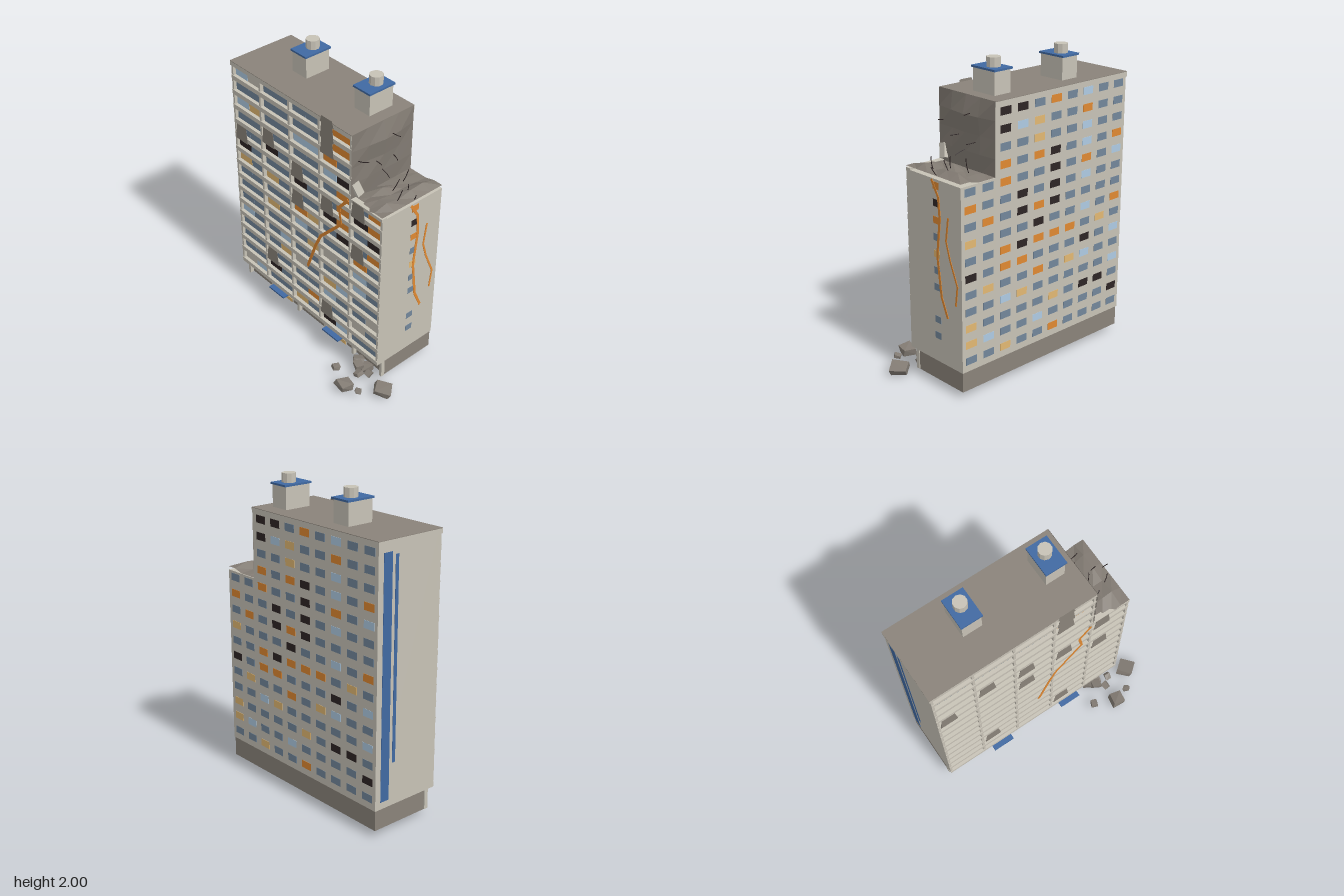
import * as THREE from 'three';
import { ConvexGeometry } from 'three/addons/geometries/ConvexGeometry.js';

const mat = (name, color, extra = {}) => new THREE.MeshStandardMaterial({ name, color, ...extra });

export function createModel() {
  const M = {
    g: mat('concrete', 0xc7c2b6),
    d: mat('grey concrete', 0x8a837a),
    b: mat('broken concrete', 0x827b73, { side: THREE.DoubleSide }),
    u: mat('blue trim', 0x4069a2),
    s: mat('slate glass', 0x73879b),
    l: mat('light glass', 0xaecbe3),
    t: mat('lit tan', 0xe2b873),
    o: mat('fire orange', 0xe08932),
    k: mat('charred black', 0x2e2525),
  };
  const root = new THREE.Group();
  let seed = 11;
  const rnd = () => (seed = (seed * 16807) % 2147483647) / 2147483647;

  const add = (name, geo, m, parent = root) => {
    const mesh = new THREE.Mesh(geo, M[m]);
    mesh.name = name;
    parent.add(mesh);
    return mesh;
  };
  // Box given by its extents on each axis
  const box = (name, m, x0, x1, y0, y1, z0, z1, parent) => {
    const mesh = add(name, new THREE.BoxGeometry(x1 - x0, y1 - y0, z1 - z0), m, parent);
    mesh.position.set((x0 + x1) / 2, (y0 + y1) / 2, (z0 + z1) / 2);
    return mesh;
  };
  const group = (name) => {
    const g = new THREE.Group();
    g.name = name;
    root.add(g);
    return g;
  };
  const flat = (geo) => {
    const g = geo.toNonIndexed();
    g.computeVertexNormals();
    return g;
  };

  const L = -0.763, R = 0.615, CUT = 0.35, BACK = -0.36, FRONT = 0.127, GLASS = 0.1;
  const BAY = (R - L) / 5, PITCH = 0.10586;
  const rowY = (r) => 1.725 - r * PITCH;
  const windowX = (c) => L + BAY * (Math.floor(c / 2) + (c % 2 ? 0.715 : 0.278));

  // Main body: tall part and the lower part left after the collapse
  box('tallBlock', 'g', L, CUT, 0.175, 1.76, BACK, GLASS - 0.002);
  box('lowBlock', 'g', CUT, R, 0.175, 1.34, BACK, GLASS - 0.002);
  box('roofSlab', 'g', L - 0.006, CUT, 1.757, 1.787, BACK - 0.005, FRONT);
  box('roofSurface', 'd', L - 0.006, CUT, 1.787, 1.79, BACK - 0.005, FRONT);

  // Hollow ground floor, open below, with pillars under the overhang
  const base = group('groundFloor');
  box('baseFront', 'd', L + 0.005, R - 0.005, 0.045, 0.175, 0.04, 0.05, base);
  box('baseBack', 'd', L + 0.005, R - 0.005, 0.045, 0.175, -0.355, -0.345, base);
  box('baseLeft', 'd', R - 0.015, R - 0.005, 0.045, 0.175, -0.345, 0.04, base);
  box('baseRight', 'd', L + 0.005, L + 0.015, 0.045, 0.175, -0.345, 0.04, base);
  for (let i = 0; i <= 5; i++) {
    const x = Math.min(Math.max(L + i * BAY, L + 0.012), R - 0.012);
    box('pillar', 'g', x - 0.01, x + 0.01, 0.045, 0.175, 0.053, 0.08, base);
  }
  for (const x of [-0.35, 0.204]) {
    box('door', 'g', x - 0.05, x + 0.05, 0.045, 0.14, 0.05, 0.055, base);
    box('doorGlow', 't', x - 0.045, x + 0.045, 0.045, 0.073, 0.055, 0.058, base);
    box('canopy', 'u', x - 0.076, x + 0.076, 0.16, 0.172, 0.05, 0.16, base);
  }

  // Front windows, ten to a floor, listed from the top
  const frontRows = ['lgssssoo', 'ssssssoo', 'ltssllos', 'sssssslk', 'sskssssoso', 'kssskssoko',
    'tstssskosk', 'ssssotskso', 'sstslsssos', 'ssssstgsls', 'lsslssssls', 'ssstgstlss',
    'sssssslssg', 'sskssossgs', 'glsstsklss'];
  const front = group('frontWindows');
  frontRows.forEach((row, r) => [...row].forEach((c, i) => {
    const x = windowX(i);
    box('frontWindow', c, x - 0.0595, x + 0.0595, rowY(r) - 0.035, rowY(r) + 0.035, GLASS - 0.004, GLASS + 0.003, front);
  }));

  // Balcony bands with a slim rail, and upright fins between the bays
  const balconies = group('balconies');
  for (let r = 0; r < 15; r++) {
    const x1 = r < 4 ? CUT : R, y = rowY(r) - 0.035;
    box('balconyBand', 'g', L, x1, y - 0.032, y - 0.004, GLASS - 0.01, FRONT - 0.002, balconies);
    box('balconyRail', 'g', L, x1, y - 0.004, y + 0.002, GLASS - 0.01, FRONT, balconies);
  }
  box('brokenFloorEdge', 'g', CUT, R, 1.328, 1.35, GLASS - 0.01, FRONT, balconies);
  for (let i = 0; i <= 5; i++) {
    const x = Math.min(Math.max(L + i * BAY, L + 0.008), R - 0.008);
    box('fin', 'g', x - 0.008, x + 0.008, 0.175, i < 5 ? 1.76 : 1.34, GLASS - 0.01, FRONT - 0.004, balconies);
  }

  // Soot plumes above burnt windows
  const soot = group('sootMarks');
  for (const [r, c] of [[0, 6], [1, 6], [2, 6], [4, 2], [5, 0], [5, 4], [5, 8], [6, 6], [7, 4], [8, 8], [13, 2], [14, 6]]) {
    const h = r ? 0.115 : 0.045;
    const s = new THREE.Shape([[-0.06, 0], [0.06, 0], [0.046, h], [-0.046, h]].map((p) => new THREE.Vector2(...p)));
    add('sootMark', new THREE.ExtrudeGeometry(s, { depth: 0.002, bevelEnabled: false }), 'd', soot)
      .position.set(windowX(c), rowY(r) + 0.035, FRONT);
  }

  // Back windows, listed from the model's left
  const backRows = ['  kksoslss', '  kltssoss', '  sstsslss', '  osokslso', 'ssossksosl', 'osskskslss',
    'soskokssss', 'tsssksslso', 'ssokooosts', 'ksoosssksl', 'stssostlss', 'ssltsssssl',
    'tsssstskks', 'tlsslssssk', 'sstssossss'];
  const back = group('backWindows');
  backRows.forEach((row, r) => [...row].forEach((c, i) => {
    if (c === ' ') return;
    const x = R - (R - L) * (i + 0.5) / 10;
    box('backWindow', c, x - 0.042, x + 0.042, rowY(r) - 0.024, rowY(r) + 0.024, BACK - 0.0015, BACK + 0.003, back);
  }));

  // Left end windows and the blue stripes on the other end
  [...'okostss ss'].forEach((c, i) => {
    if (c === ' ') return;
    const y = rowY(i + 4);
    box('endWindow', c, R - 0.003, R + 0.0015, y - 0.022, y + 0.022, -0.169, -0.116);
  });
  box('wideStripe', 'u', L - 0.0015, L + 0.003, 0.22, 1.72, -0.32, -0.255);
  box('thinStripe', 'u', L - 0.0015, L + 0.003, 0.45, 1.7, -0.232, -0.208);

  // Glowing cracks: ribbons along a zigzag, drawn in a plane
  const crack = (pts, w) => {
    const left = [], right = [];
    pts.forEach(([x, y], i) => {
      const a = pts[Math.max(i - 1, 0)], b = pts[Math.min(i + 1, pts.length - 1)];
      const dx = b[0] - a[0], dy = b[1] - a[1], k = w / 2 / Math.hypot(dx, dy);
      left.push(new THREE.Vector2(x - dy * k, y + dx * k));
      right.unshift(new THREE.Vector2(x + dy * k, y - dx * k));
    });
    const s = new THREE.Shape([...left, ...right]);
    return add('crack', new THREE.ExtrudeGeometry(s, { depth: 0.003, bevelEnabled: false }), 'o');
  };
  crack([[0.33, 1.328], [0.251, 1.233], [0.272, 1.116], [0.082, 0.91], [0.034, 0.804], [-0.045, 0.587]], 0.02)
    .position.z = FRONT + 0.001;
  for (const [pts, w] of [
    [[[0.106, 1.333], [0.164, 1.238], [0.175, 1.106], [0.148, 0.868], [0.18, 0.614], [0.233, 0.492]], 0.018],
    [[[0.249, 1.132], [0.228, 0.984], [0.259, 0.878], [0.323, 0.725], [0.307, 0.598]], 0.013]]) {
    const c = crack(pts, w);
    c.rotation.y = Math.PI / 2;
    c.position.x = R;
  }

  // Collapsed corner: jagged faceted wall and floor
  const jagged = (name, nu, nv, point) => {
    const g = new THREE.PlaneGeometry(1, 1, nu, nv), p = g.attributes.position;
    for (let i = 0; i < p.count; i++) {
      const u = p.getX(i) + 0.5, v = p.getY(i) + 0.5;
      const inside = u > 0.01 && u < 0.99 && v > 0.01 && v < 0.99;
      p.setXYZ(i, ...point(u, v, inside ? rnd() : 0));
    }
    add(name, flat(g), 'b');
  };
  jagged('tornWall', 4, 4, (u, v, n) =>
    [CUT + 0.002 + n * 0.018 + Math.sin(Math.PI * u) * (v > 0.7 && v < 0.8 ? 0.022 : 0), 1.34 + v * 0.45, FRONT + u * (BACK - FRONT)]);
  jagged('tornFloor', 4, 5, (u, v, n) =>
    [CUT + u * (R - CUT), 1.343 + n * 0.04 + (u > 0.7 ? 0.018 : 0), FRONT + v * (BACK - FRONT)]);
  const stub = box('brokenSlab', 'g', 0.348, 0.373, 1.365, 1.455, 0.06, 0.11);
  stub.rotation.set(0.3, 0, 0.25);

  // Bent reinforcing bars
  const bars = group('reinforcingBars');
  const bar = (x, y, z, dx, dy, dz) => {
    const curve = new THREE.QuadraticBezierCurve3(new THREE.Vector3(x, y, z),
      new THREE.Vector3(x + dx * 0.7, y + dy * 0.4, z + dz * 0.2), new THREE.Vector3(x + dx, y + dy, z + dz));
    add('bar', new THREE.TubeGeometry(curve, 5, 0.0026, 5), 'k', bars);
  };
  for (const [y, z] of [[1.69, -0.17], [1.6, 0.08], [1.54, -0.06], [1.52, -0.2], [1.46, -0.11]])
    bar(0.355, y, z, 0.06 + rnd() * 0.03, rnd() * 0.06 - 0.03, rnd() * 0.05 - 0.025);
  for (const [x, z] of [[0.43, -0.22], [0.46, -0.1], [0.52, -0.16], [0.55, -0.05], [0.6, -0.14]])
    bar(x, 1.355, z, 0.03, 0.05 + rnd() * 0.05, rnd() * 0.06 - 0.03);

  // Roof huts with blue caps and round vents
  for (const x of [-0.35, 0.206]) {
    const hut = group('roofHut');
    box('hutWalls', 'g', x - 0.064, x + 0.064, 1.785, 1.932, -0.265, -0.083, hut);
    box('hutCap', 'u', x - 0.071, x + 0.071, 1.93, 1.942, -0.275, -0.074, hut);
    add('vent', flat(new THREE.CylinderGeometry(0.043, 0.043, 0.06, 10)), 'g', hut).position.set(x, 1.97, -0.19);
  }

  // Fallen rubble: convex chunks with shifted corners
  const rubble = group('rubble');
  for (const [x, z, s, y] of [[0.7, 0.15, 0.056, 0.045], [0.515, 0.305, 0.055, 0.05], [0.61, 0.275, 0.025, 0.05],
    [0.357, 0.24, 0.029, 0.05], [0.5, 0.175, 0.029, 0.055], [0.45, 0.13, 0.038, 0.06], [0.55, 0.13, 0.027, 0.06],
    [0.405, 0.085, 0.038, 0.055], [0.47, 0.08, 0.048, 0.03]]) {
    const pts = [];
    for (const a of [-1, 1]) for (const b of [-1, 1]) for (const c of [-1, 1])
      pts.push(new THREE.Vector3(a * (0.55 + rnd() * 0.45), b * (0.25 + rnd() * 0.3), c * (0.55 + rnd() * 0.45)).multiplyScalar(s));
    const chunk = add('rubbleChunk', new ConvexGeometry(pts), 'b', rubble);
    chunk.position.set(x, y, z);
    chunk.rotation.set(rnd() * 0.6 - 0.3, rnd() * 3, rnd() * 0.6 - 0.3);
  }
  return root;
}
